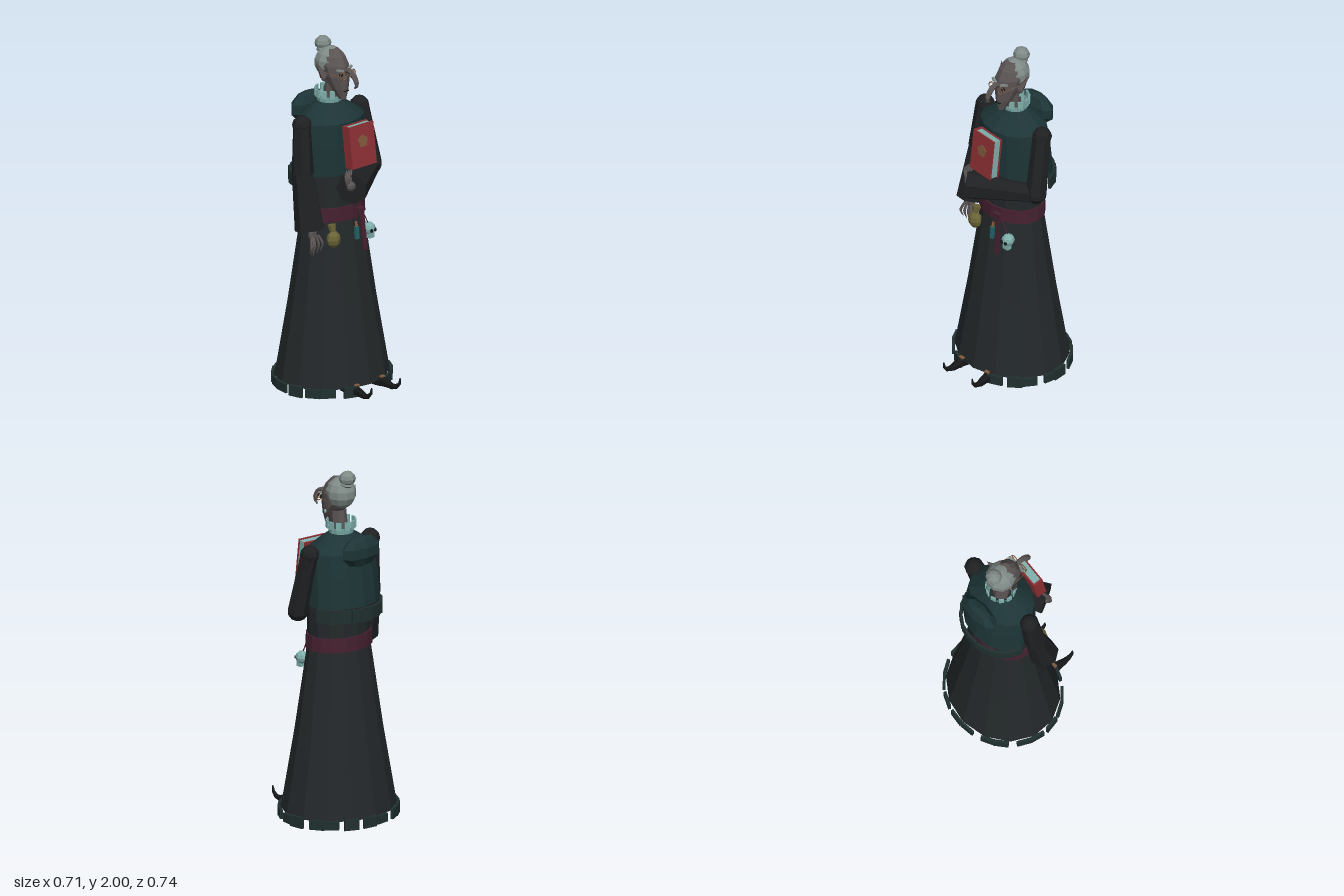
import * as THREE from 'three';

const mat = (color) => new THREE.MeshStandardMaterial({ color, flatShading: true, side: THREE.DoubleSide });
const M = {
  robe: mat(0x23282a), sleeve: mat(0x1e2022), mantle: mat(0x1d3436), trim: mat(0x20302f),
  belt: mat(0x45202f), book: mat(0x8e3034), pale: mat(0x7fb0ac), skin: mat(0x5a5453),
  hair: mat(0x7f8a87), dark: mat(0x151617), gold: mat(0x6b6538), copper: mat(0x80573c), vial: mat(0x1f5f62),
};
const V = (x, y, z) => new THREE.Vector3(x, y, z);
const UP = V(0, 1, 0);

export function createModel() {
  const root = new THREE.Group();

  function add(name, geo, m, pos = [0, 0, 0], rot = [0, 0, 0], scale = [1, 1, 1], parent = root) {
    const mesh = new THREE.Mesh(geo, m);
    mesh.name = name;
    mesh.position.set(...pos);
    mesh.rotation.set(...rot);
    mesh.scale.set(...scale);
    parent.add(mesh);
    return mesh;
  }
  const box = (name, size, m, pos, rot, parent) =>
    add(name, new THREE.BoxGeometry(...size), m, pos, rot, [1, 1, 1], parent);
  const ball = (name, r, m, pos, w = 8, h = 6) =>
    add(name, new THREE.SphereGeometry(1, w, h), m, pos, [0, 0, 0], r);

  // Stacked elliptical rings [y, centreZ, radiusX, radiusZ], listed from top to bottom
  function loft(name, rings, n, m, open = false) {
    const k = rings.length - 1;
    const g = new THREE.CylinderGeometry(1, 1, 1, n, k, open);
    const p = g.attributes.position;
    for (let i = 0; i < p.count; i++) {
      const [y, cz, rx, rz] = rings[Math.round((0.5 - p.getY(i)) * k)];
      p.setXYZ(i, p.getX(i) * rx, y, cz + p.getZ(i) * rz);
    }
    g.computeVertexNormals();
    return add(name, g, m);
  }

  // Tapered rod from a to b
  function rod(name, a, b, ra, rb, n, m, open = false) {
    const A = V(...a), B = V(...b), d = B.clone().sub(A);
    const mesh = add(name, new THREE.CylinderGeometry(rb, ra, d.length(), n, 1, open), m);
    mesh.position.copy(A).add(B).multiplyScalar(0.5);
    mesh.quaternion.setFromUnitVectors(UP, d.normalize());
    return mesh;
  }

  // Tube along points whose radius follows a list of widths
  function taper(name, pts, radii, n, m) {
    const steps = 8, curve = new THREE.CatmullRomCurve3(pts.map((q) => V(...q)));
    const g = new THREE.TubeGeometry(curve, steps, 1, n);
    const p = g.attributes.position, c = V(), v = V();
    for (let i = 0; i < p.count; i++) {
      const t = Math.floor(i / (n + 1)) / steps, f = t * (radii.length - 1);
      const j = Math.min(Math.floor(f), radii.length - 2);
      const r = radii[j] + (radii[j + 1] - radii[j]) * (f - j);
      curve.getPointAt(t, c);
      v.fromBufferAttribute(p, i).sub(c).multiplyScalar(r).add(c);
      p.setXYZ(i, v.x, v.y, v.z);
    }
    g.computeVertexNormals();
    return add(name, g, m);
  }

  // Robe, belt and shoulder mantle
  loft('robe', [[1.5, -0.05, 0.18, 0.14], [1.2, -0.05, 0.195, 0.15], [1.0, -0.05, 0.19, 0.15],
    [0.5, -0.05, 0.26, 0.225], [0.05, -0.05, 0.335, 0.3]], 14, M.robe);
  loft('belt', [[1.065, -0.05, 0.2, 0.16], [0.985, -0.05, 0.205, 0.163]], 16, M.belt);
  loft('mantle', [[1.64, -0.07, 0.07, 0.065], [1.61, -0.065, 0.12, 0.1], [1.55, -0.06, 0.205, 0.16],
    [1.42, -0.07, 0.218, 0.17], [1.25, -0.08, 0.225, 0.18]], 14, M.mantle, true);
  ball('hood', [0.14, 0.09, 0.058], M.mantle, [0, 1.565, -0.23], 8, 5);

  // Separate patches along the hem and the back edge of the mantle
  function patches(name, count, from, to, rx, rz, cz, y, w, h) {
    for (let i = 0; i < count; i++) {
      const a = from + (to - from) * (i + 0.5) / count + 0.05 * Math.sin(i * 2.7);
      const yaw = Math.atan2(Math.sin(a) * rz, Math.cos(a) * rx);
      box(name, [w, h + 0.008 * Math.sin(i * 1.9), 0.016], M.trim,
        [rx * Math.sin(a), y, cz + rz * Math.cos(a)], [0, yaw, 0]);
    }
  }
  patches('hemPatch', 18, 0.3, Math.PI * 2 - 0.3, 0.342, 0.308, -0.05, 0.033, 0.085, 0.056);
  patches('mantlePatch', 9, 1.8, Math.PI * 2 - 1.8, 0.222, 0.197, -0.08, 1.21, 0.078, 0.074);

  // Hanging right arm with clawed hand
  ball('rightShoulder', [0.055, 0.055, 0.055], M.sleeve, [-0.225, 1.55, -0.06]);
  rod('rightUpperSleeve', [-0.225, 1.56, -0.06], [-0.245, 1.27, -0.035], 0.052, 0.062, 7, M.sleeve);
  rod('rightLowerSleeve', [-0.245, 1.28, -0.035], [-0.248, 0.965, 0.025], 0.06, 0.085, 7, M.sleeve);
  ball('rightPalm', [0.032, 0.04, 0.02], M.skin, [-0.24, 0.94, 0.035], 6, 5);
  for (let i = 0; i < 5; i++) {
    const s = (i - 2) / 2, z = 0.04 + 0.015 * Math.abs(s);
    taper('rightFinger', [[-0.24 + s * 0.025, 0.93, z], [-0.24 + s * 0.045, 0.875, z + 0.015],
      [-0.24 + s * 0.04, 0.81 + 0.025 * Math.abs(s), z]], [0.008, 0.008, 0.002], 5, M.skin);
  }

  // Left arm bent across the body
  ball('leftShoulder', [0.055, 0.055, 0.055], M.sleeve, [0.225, 1.55, -0.06]);
  rod('leftUpperSleeve', [0.225, 1.56, -0.06], [0.25, 1.215, 0.01], 0.052, 0.06, 7, M.sleeve);
  ball('leftElbow', [0.06, 0.06, 0.06], M.sleeve, [0.25, 1.215, 0.01], 7, 5);
  rod('leftForearmSleeve', [0.25, 1.215, 0.01], [-0.09, 1.2, 0.19], 0.052, 0.09, 7, M.sleeve);
  ball('leftPalm', [0.03, 0.03, 0.025], M.skin, [-0.095, 1.22, 0.19], 6, 5);
  for (let i = 0; i < 4; i++) {
    const x = -0.12 + i * 0.014;
    taper('leftFinger', [[x, 1.225, 0.19], [x - 0.012, 1.275, 0.185], [x + 0.012, 1.31, 0.17]],
      [0.008, 0.008, 0.003], 5, M.skin);
  }

  // Book with pages and a pentagon clasp
  const book = new THREE.Group();
  book.name = 'book';
  book.position.set(0.005, 1.43, 0.157);
  book.rotation.set(-0.12, -0.08, 0);
  root.add(book);
  for (const z of [-0.026, 0.026]) box('cover', [0.175, 0.24, 0.009], M.book, [0, 0, z], [0, 0, 0], book);
  box('spine', [0.01, 0.24, 0.05], M.book, [-0.083, 0, 0], [0, 0, 0], book);
  box('pages', [0.158, 0.228, 0.044], M.pale, [0.004, 0, 0], [0, 0, 0], book);
  add('clasp', new THREE.CylinderGeometry(0.038, 0.038, 0.006, 5), M.copper,
    [0, 0.025, 0.032], [Math.PI / 2, Math.PI, 0], [1, 1, 1], book);

  // Flared collar with standing tabs
  loft('collar', [[1.675, -0.07, 0.078, 0.073], [1.6, -0.07, 0.062, 0.06]], 12, M.pale, true);
  for (let i = 0; i < 10; i++) {
    const a = 0.55 + i * (Math.PI * 2 - 1.1) / 9;
    box('collarTab', [0.03, 0.045, 0.008], M.pale,
      [0.083 * Math.sin(a), 1.69, -0.07 + 0.077 * Math.cos(a)], [0, a, 0]);
  }
  rod('neck', [0, 1.6, -0.065], [0, 1.76, -0.045], 0.045, 0.045, 8, M.skin);

  // Head, hair and bun
  loft('head', [[1.945, -0.045, 0.03, 0.04], [1.91, -0.05, 0.064, 0.08], [1.86, -0.045, 0.08, 0.1],
    [1.8, -0.025, 0.07, 0.09], [1.73, 0.005, 0.046, 0.058], [1.67, 0.03, 0.018, 0.024]], 10, M.skin);
  ball('hair', [0.086, 0.09, 0.089], M.hair, [0, 1.863, -0.066], 10, 7);
  ball('bun', [0.048, 0.042, 0.046], M.hair, [0, 1.958, -0.12]);
  add('bunBand', new THREE.TorusGeometry(0.034, 0.01, 5, 8), M.hair, [0, 1.928, -0.112], [Math.PI / 2 - 0.3, 0, 0]);

  // Long hooked nose and mouth
  taper('nose', [[0, 1.83, 0.045], [0, 1.845, 0.085], [0, 1.815, 0.125], [0, 1.77, 0.142], [0, 1.752, 0.125]],
    [0.014, 0.015, 0.017, 0.014, 0.004], 6, M.skin);
  box('mouth', [0.035, 0.005, 0.01], M.dark, [0, 1.72, 0.06]);

  for (const s of [-1, 1]) {
    const side = s > 0 ? 'left' : 'right';
    // Eyes, brows, spectacles, ears and earrings
    ball(side + 'Eye', [0.014, 0.01, 0.01], M.dark, [s * 0.035, 1.82, 0.055], 6, 5);
    box(side + 'Brow', [0.045, 0.01, 0.014], M.hair, [s * 0.037, 1.845, 0.05], [0, s * 0.3, s * 0.25]);
    add(side + 'Lens', new THREE.TorusGeometry(0.024, 0.003, 4, 10), M.copper, [s * 0.036, 1.818, 0.072]);
    rod(side + 'Temple', [s * 0.06, 1.82, 0.072], [s * 0.076, 1.825, -0.03], 0.002, 0.002, 4, M.copper);
    const ear = rod(side + 'Ear', [s * 0.074, 1.8, -0.04], [s * 0.108, 1.885, -0.07], 0.022, 0.001, 5, M.skin);
    ear.scale.z = 1.1;
    ball(side + 'EarLobe', [0.012, 0.024, 0.018], M.skin, [s * 0.076, 1.795, -0.04], 6, 5);
    ball(side + 'Earring', [0.008, 0.012, 0.008], M.pale, [s * 0.083, 1.765, -0.03], 5, 4);

    // Shoes with curled toes and a buckle
    taper(side + 'Shoe', [[s * 0.1, 0.035, 0.14], [s * 0.105, 0.033, 0.25], [s * 0.11, 0.022, 0.32],
      [s * 0.112, 0.045, 0.358], [s * 0.112, 0.083, 0.366]], [0.035, 0.034, 0.024, 0.014, 0.004], 6, M.dark);
    box(side + 'Buckle', [0.03, 0.008, 0.018], M.copper, [s * 0.1, 0.066, 0.24], [0.15, 0, 0]);
  }

  // Pouch, vial, belt strap and small skull hanging from the belt
  ball('pouch', [0.043, 0.05, 0.036], M.gold, [-0.14, 0.897, 0.1]);
  rod('pouchNeck', [-0.14, 0.935, 0.095], [-0.14, 0.98, 0.085], 0.016, 0.026, 7, M.gold);
  rod('vial', [0.02, 0.865, 0.125], [0.02, 0.935, 0.12], 0.016, 0.016, 6, M.vial);
  rod('vialNeck', [0.02, 0.935, 0.12], [0.02, 0.965, 0.115], 0.009, 0.007, 6, M.copper);
  rod('vialCord', [0.02, 0.96, 0.115], [0.03, 1.03, 0.11], 0.003, 0.003, 4, M.belt);
  box('beltKnot', [0.05, 0.036, 0.03], M.belt, [0.052, 1.02, 0.112]);
  box('beltStrap', [0.03, 0.22, 0.01], M.belt, [0.065, 0.9, 0.128], [-0.1, 0, 0.05]);
  rod('skullCord', [0.07, 1.02, 0.11], [0.128, 0.92, 0.105], 0.004, 0.004, 4, M.belt);
  ball('skull', [0.036, 0.036, 0.038], M.pale, [0.13, 0.895, 0.108]);
  box('skullJaw', [0.038, 0.03, 0.032], M.pale, [0.13, 0.857, 0.116]);
  for (const s of [-1, 1]) ball('skullSocket', [0.011, 0.011, 0.008], M.dark, [0.13 + s * 0.014, 0.89, 0.142], 6, 4);
  return root;
}
